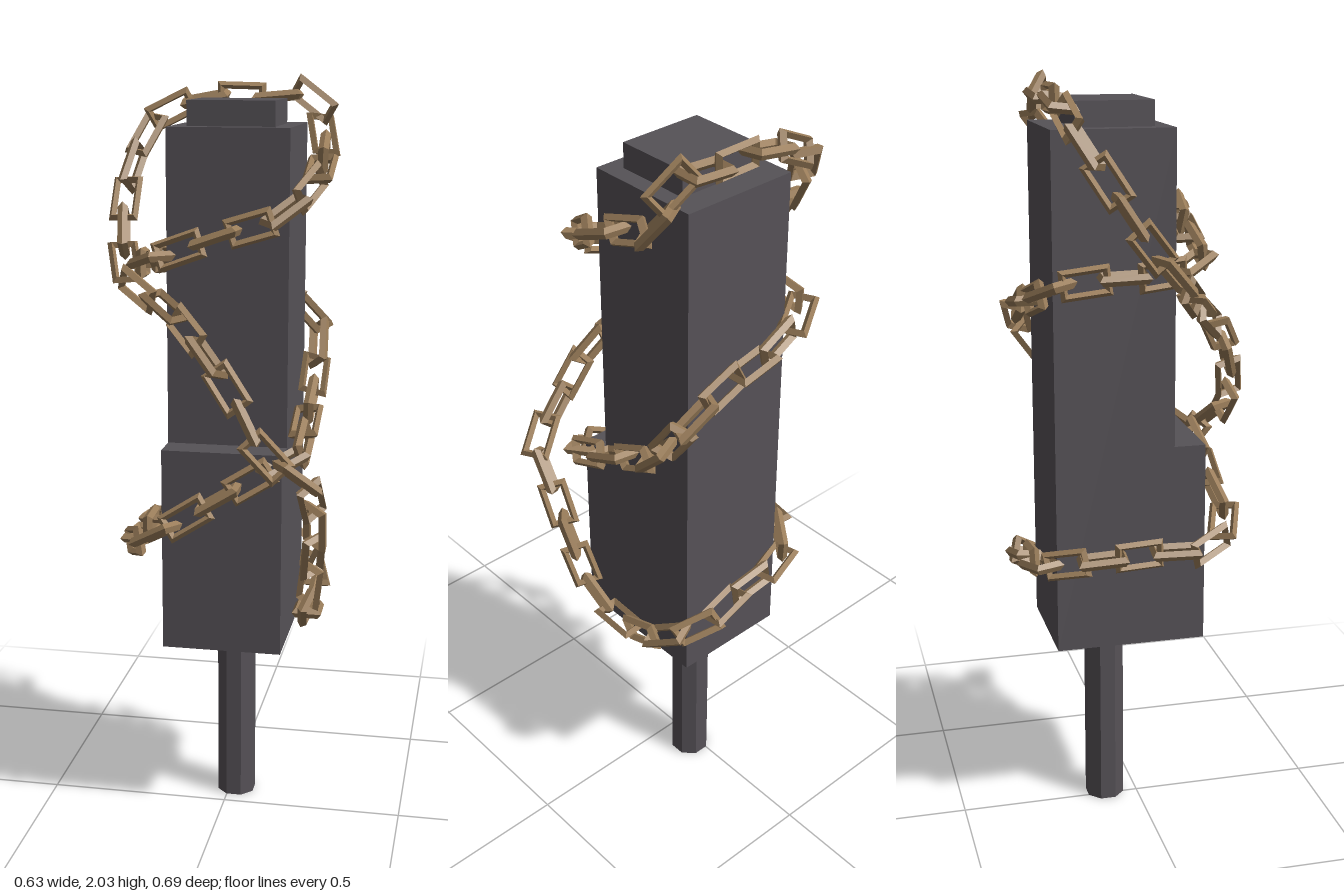
import * as THREE from 'three';

export function createModel() {
  const model = new THREE.Group();
  const darkGrey = new THREE.MeshStandardMaterial({ color: 0x565257, flatShading: true });
  darkGrey.name = 'dark grey';
  const bronze = new THREE.MeshStandardMaterial({ color: 0x9a7d5a, flatShading: true });
  bronze.name = 'bronze';

  function add(name, geometry, x, y, z) {
    const mesh = new THREE.Mesh(geometry, darkGrey);
    mesh.name = name;
    mesh.position.set(x, y, z);
    model.add(mesh);
  }

  // L-shaped block: side profile extruded across the width
  const profile = new THREE.Shape([
    [0.25, 0.525], [0.25, 1.9], [-0.07, 1.9], [-0.07, 1.075], [-0.155, 1.075], [-0.155, 0.525],
  ].map(([u, y]) => new THREE.Vector2(u, y)));
  const block = new THREE.ExtrudeGeometry(profile, { depth: 0.32, bevelEnabled: false });
  block.rotateY(Math.PI / 2);
  add('block', block, -0.14, 0, 0);

  // Cap and handle
  add('cap', new THREE.BoxGeometry(0.23, 0.065, 0.205), 0.02, 1.9325, -0.0775);
  add('handle', new THREE.CylinderGeometry(0.055, 0.055, 0.525, 8).rotateY(Math.PI / 8), 0.02, 0.2625, -0.09);

  // Closed path of the chain, wound round the block
  const path = new THREE.CatmullRomCurve3([
    // over the top, down the left side and across the front
    [0.2, 1.96, -0.22], [0.23, 1.87, -0.2], [0.245, 1.81, -0.06], [0.23, 1.75, 0.07],
    [0.15, 1.68, 0.14], [0, 1.63, 0.13], [-0.14, 1.58, 0.13],
    // round the right side and the back
    [-0.21, 1.55, 0.04], [-0.21, 1.54, -0.12], [-0.19, 1.52, -0.25], [-0.06, 1.47, -0.29],
    [0.1, 1.43, -0.295],
    // left side, then down across the front of the step
    [0.205, 1.36, -0.28], [0.22, 1.21, -0.16], [0.22, 1.13, 0], [0.22, 1.08, 0.12],
    [0.13, 1.03, 0.19], [0, 0.95, 0.2], [-0.13, 0.87, 0.21],
    // round the right side and the back again
    [-0.215, 0.82, 0.15], [-0.215, 0.81, 0], [-0.21, 0.8, -0.18], [-0.13, 0.77, -0.28],
    [0.04, 0.74, -0.295], [0.17, 0.7, -0.29],
    // low on the left side and up over the front
    [0.23, 0.63, -0.18], [0.23, 0.59, -0.04], [0.24, 0.64, 0.07], [0.26, 0.78, 0.13],
    [0.27, 0.93, 0.19], [0.25, 1.04, 0.27], [0.16, 1.11, 0.3], [0.08, 1.24, 0.28],
    [-0.02, 1.36, 0.22], [-0.13, 1.45, 0.13],
    // up the right side to the top
    [-0.23, 1.5, 0.08], [-0.28, 1.64, -0.04], [-0.275, 1.79, -0.14], [-0.22, 1.91, -0.21],
    [-0.1, 1.96, -0.22], [0.05, 1.965, -0.22],
  ].map((p) => new THREE.Vector3(...p)), true, 'centripetal');

  // Rectangular link with diamond-section bars: a square ring stretched in length
  const linkGeometry = new THREE.TorusGeometry(0.043, 0.0135, 4, 4).rotateZ(Math.PI / 4);
  const pos = linkGeometry.attributes.position;
  for (let i = 0; i < pos.count; i++) pos.setX(i, pos.getX(i) + Math.sign(pos.getX(i)) * 0.026);

  // Links follow the path, every second one turned a quarter
  const chain = new THREE.Group();
  chain.name = 'chain';
  const count = 2 * Math.round(path.getLength() / 0.2);
  for (let i = 0; i < count; i++) {
    const p = path.getPointAt(i / count);
    const along = path.getTangentAt(i / count).normalize();
    const out = new THREE.Vector3(p.x - 0.02, 0, p.z + 0.06);
    out.addScaledVector(along, -out.dot(along)).normalize();
    const across = new THREE.Vector3().crossVectors(out, along);
    const link = new THREE.Mesh(linkGeometry, bronze);
    link.name = 'chainLink';
    link.position.copy(p);
    link.quaternion.setFromRotationMatrix(new THREE.Matrix4().makeBasis(along, across, out));
    if (i % 2) link.rotateX(Math.PI / 2);
    chain.add(link);
  }
  model.add(chain);
  return model;
}
